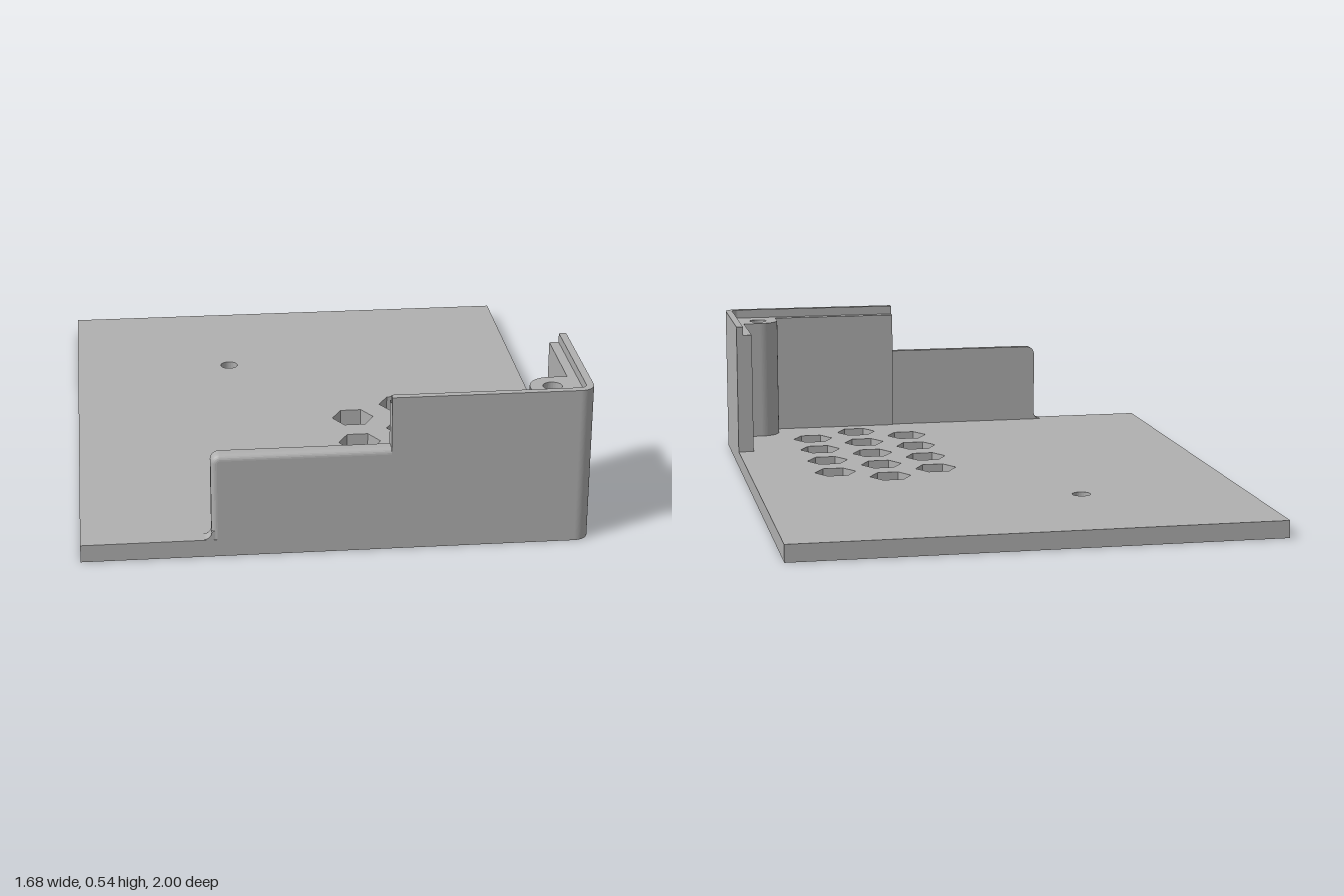
import * as THREE from 'three';

const W = 0.84, D = 1, BASE = 0.06, R = 0.05;

export function createModel() {
  const group = new THREE.Group();
  const grey = new THREE.MeshStandardMaterial({ color: 0xb0b0b0 });
  grey.name = 'plainGrey';

  const add = (name, geo) => {
    const mesh = new THREE.Mesh(geo, grey);
    mesh.name = name;
    group.add(mesh);
    return mesh;
  };
  // Plan outlines use (x, -z); each is raised from y0 to y1
  const slab = (name, shape, y0, y1) => {
    const geo = new THREE.ExtrudeGeometry(shape, { depth: y1 - y0, bevelEnabled: false, curveSegments: 12 });
    geo.rotateX(-Math.PI / 2).translate(0, y0, 0);
    return add(name, geo);
  };
  const circle = (x, z, r) => new THREE.Path().absarc(x, -z, r, 0, Math.PI * 2, true);
  const hexagon = (x, z, r) => {
    const pts = [];
    for (let i = 0; i < 6; i++) {
      const a = -i * Math.PI / 3;
      pts.push(new THREE.Vector2(x + r * Math.cos(a), -z + r * Math.sin(a)));
    }
    return new THREE.Path(pts);
  };

  // Base plate with one rounded corner, a vent grid and a screw hole
  const plate = new THREE.Shape();
  plate.moveTo(-W, -D);
  plate.lineTo(W - R, -D);
  plate.absarc(W - R, -D + R, R, -Math.PI / 2, 0, false);
  plate.lineTo(W, D);
  plate.lineTo(-W, D);
  plate.closePath();
  plate.holes.push(circle(-0.26, -0.47, 0.032));
  for (let i = 0; i < 4; i++) {
    for (const x of [0.158, 0.53]) plate.holes.push(hexagon(x, 0.068 + i * 0.215, 0.075));
  }
  for (let i = 0; i < 5; i++) plate.holes.push(hexagon(0.344, -0.04 + i * 0.215, 0.075));
  slab('basePlate', plate, 0, BASE);

  // L-shaped corner wall, with a thinner lip on its outer edge
  const cornerWall = (t) => {
    const s = new THREE.Shape();
    const r = Math.max(R - t, 0.002);
    s.moveTo(0.175, -D);
    s.lineTo(W - R, -D);
    s.absarc(W - R, -D + R, R, -Math.PI / 2, 0, false);
    s.lineTo(W, -0.505);
    s.lineTo(W - t, -0.505);
    s.lineTo(W - t, -D + t + r);
    s.absarc(W - t - r, -D + t + r, r, 0, -Math.PI / 2, true);
    s.lineTo(0.175, -D + t);
    s.closePath();
    return s;
  };
  slab('cornerWall', cornerWall(0.057), BASE, 0.508);
  slab('cornerWallLip', cornerWall(0.025), 0.508, 0.54);

  // Screw boss tucked into the corner
  const bx = 0.72, bz = 0.88, br = 0.075;
  const boss = new THREE.Shape();
  boss.moveTo(bx - br, -0.945);
  boss.lineTo(0.79, -0.945);
  boss.lineTo(0.79, -bz + br);
  boss.lineTo(bx, -bz + br);
  boss.absarc(bx, -bz, br, Math.PI / 2, Math.PI, false);
  boss.closePath();
  boss.holes.push(circle(bx, bz, 0.032));
  slab('screwBoss', boss, BASE, 0.508);

  // Low front wall: rounded end, softened top edge
  const lowOutline = (inset, bottom, right) => {
    const l = -0.412 + inset, top = 0.36 - inset, r = 0.03 - inset;
    const s = new THREE.Shape();
    s.moveTo(l, bottom);
    s.lineTo(right, bottom);
    s.lineTo(right, top);
    s.lineTo(l + r, top);
    s.absarc(l + r, top - r, r, Math.PI / 2, Math.PI, false);
    s.closePath();
    return s;
  };
  const back = new THREE.ExtrudeGeometry(lowOutline(0, 0.02, 0.18), { depth: 0.025, bevelEnabled: false });
  add('lowWallBack', back.translate(0, 0, 0.955));
  const bevel = 0.02;
  const face = new THREE.ExtrudeGeometry(lowOutline(bevel, 0.03, 0.2), {
    depth: 0.002, bevelThickness: bevel, bevelSize: bevel, bevelSegments: 6
  });
  add('lowWallFace', face.translate(0, 0, D - bevel - 0.002));

  // Small concave fillet at the foot of the low wall
  const fillet = new THREE.Shape();
  fillet.moveTo(-0.435, 0.055);
  fillet.lineTo(-0.4, 0.055);
  fillet.lineTo(-0.4, 0.092);
  fillet.lineTo(-0.412, 0.088);
  fillet.absarc(-0.437, 0.087, 0.025, 0, -Math.PI / 2, true);
  fillet.closePath();
  const foot = new THREE.ExtrudeGeometry(fillet, { depth: 0.043, bevelEnabled: false });
  add('lowWallFoot', foot.translate(0, 0, 0.956));

  return group;
}
